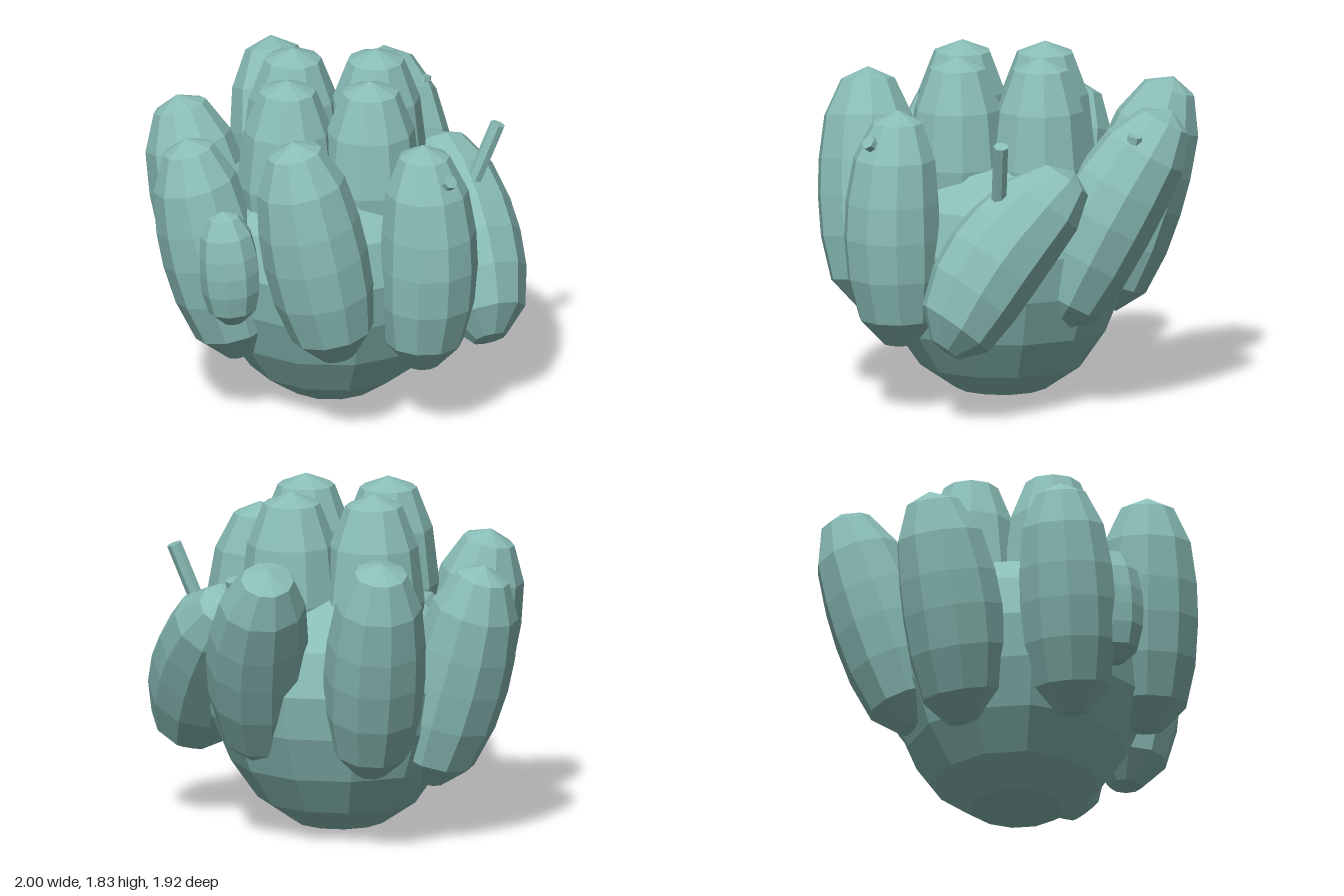
import * as THREE from 'three';

const V = (a) => new THREE.Vector3(...a);

// Faceted surface: split corners so each face has its own normal
function facet(geometry) {
  const g = geometry.toNonIndexed();
  g.computeVertexNormals();
  return g;
}

// Pod cross-sections: [radius factor, position along the axis]
const PROFILE = [[0, 0], [0.33, 0.01], [0.79, 0.12], [0.96, 0.3], [1, 0.47],
  [0.97, 0.62], [0.85, 0.8], [0.52, 0.95], [0, 1]];
const DOME = [[0, 0], [0.5, 0.05], [0.88, 0.25], [1, 0.48], [0.87, 0.75], [0.56, 0.945], [0, 1]];
const CORE = [[0, 0.01], [0.24, 0.05], [0.43, 0.18], [0.57, 0.38], [0.67, 0.62],
  [0.71, 0.85], [0.65, 1.08], [0.48, 1.25], [0.26, 1.34], [0, 1.36]];

const lathe = (points, sides) =>
  new THREE.LatheGeometry(points.map(([r, y]) => new THREE.Vector2(r, y)), sides);

// Pod running from its foot to its tip, bowed along the bend vector
function podGeometry(foot, tip, radius, bend, profile = PROFILE, sides = 10) {
  const a = V(foot), axis = V(tip).sub(a), length = axis.length(), bow = V(bend);
  const turn = new THREE.Quaternion().setFromUnitVectors(V([0, 1, 0]), axis.clone().normalize());
  const g = lathe(profile.map(([r, t]) => [r * radius, t * length]), sides);
  const p = g.attributes.position, v = new THREE.Vector3();
  for (let i = 0; i < p.count; i++) {
    v.fromBufferAttribute(p, i);
    const t = v.y / length;
    v.applyQuaternion(turn).add(a).addScaledVector(bow, Math.sin(Math.PI * t));
    p.setXYZ(i, v.x, v.y, v.z);
  }
  return facet(g);
}

// Short stalk between two points
function stalkGeometry(from, to, radius) {
  const a = V(from), d = V(to).sub(a);
  const g = new THREE.CylinderGeometry(radius, radius, d.length(), 7);
  g.applyQuaternion(new THREE.Quaternion().setFromUnitVectors(V([0, 1, 0]), d.clone().normalize()));
  const mid = a.addScaledVector(d, 0.5);
  return facet(g.translate(mid.x, mid.y, mid.z));
}

export function createModel() {
  const group = new THREE.Group();
  const green = new THREE.MeshStandardMaterial({ color: 0x8abdb7 });
  green.name = 'paleTeal';
  const add = (name, geometry) => {
    const mesh = new THREE.Mesh(geometry, green);
    mesh.name = name;
    group.add(mesh);
  };

  // Rounded core, fullest above the middle
  add('core', facet(lathe(CORE, 12)));

  // Four upright pods on top
  for (const [x, z] of [[0, 0.31], [0, -0.31], [0.3, 0], [-0.3, 0]]) {
    add('topPod', podGeometry([x, 0.75, z], [x, 1.84, z], 0.265, [0, 0, 0], DOME));
  }

  // Ring of leaning pods: name, foot, tip, radius, bend
  const ring = [
    ['frontLeftwardPod', [-0.49, 0.32, 0.2], [-0.82, 1.51, 0.34], 0.27, [0.01, 0, 0.03]],
    ['frontPod', [-0.06, 0.35, 0.57], [-0.29, 1.55, 0.76], 0.26, [-0.01, 0, 0.02]],
    ['frontSidePod', [0.52, 0.47, 0.42], [0.38, 1.7, 0.62], 0.275, [0, 0, 0.01]],
    ['sidePod', [0.7, 0.36, 0], [0.71, 1.61, 0], 0.255, [0.05, 0, 0]],
    ['backSidePod', [0.76, 0.4, -0.42], [0.07, 1.3, -0.66], 0.27, [0.07, 0.03, 0.02]],
    ['backPod', [0.05, 0.44, -0.46], [-0.48, 1.57, -0.8], 0.265, [0.05, 0.04, -0.02]],
    ['backLeftwardPod', [-0.52, 0.42, -0.18], [-0.87, 1.63, -0.36], 0.265, [0.01, 0, 0]],
  ];
  for (const [name, foot, tip, radius, bend] of ring) {
    add(name, podGeometry(foot, tip, radius, bend));
  }

  // Small young pod at the front
  add('youngPod', podGeometry([0.07, 0.62, 0.75], [0.02, 1.24, 0.78], 0.16, [0.01, 0, 0], PROFILE, 9));

  // Stalks on the pods
  add('longStalk', stalkGeometry([0.45, 1.0, -0.49], [0.57, 1.5, -0.65], 0.04));
  add('sideStub', stalkGeometry([0.83, 1.4, 0], [0.92, 1.47, 0], 0.04));
  add('backStub', stalkGeometry([-0.19, 1.2, -0.75], [-0.2, 1.48, -0.83], 0.04));
  return group;
}
